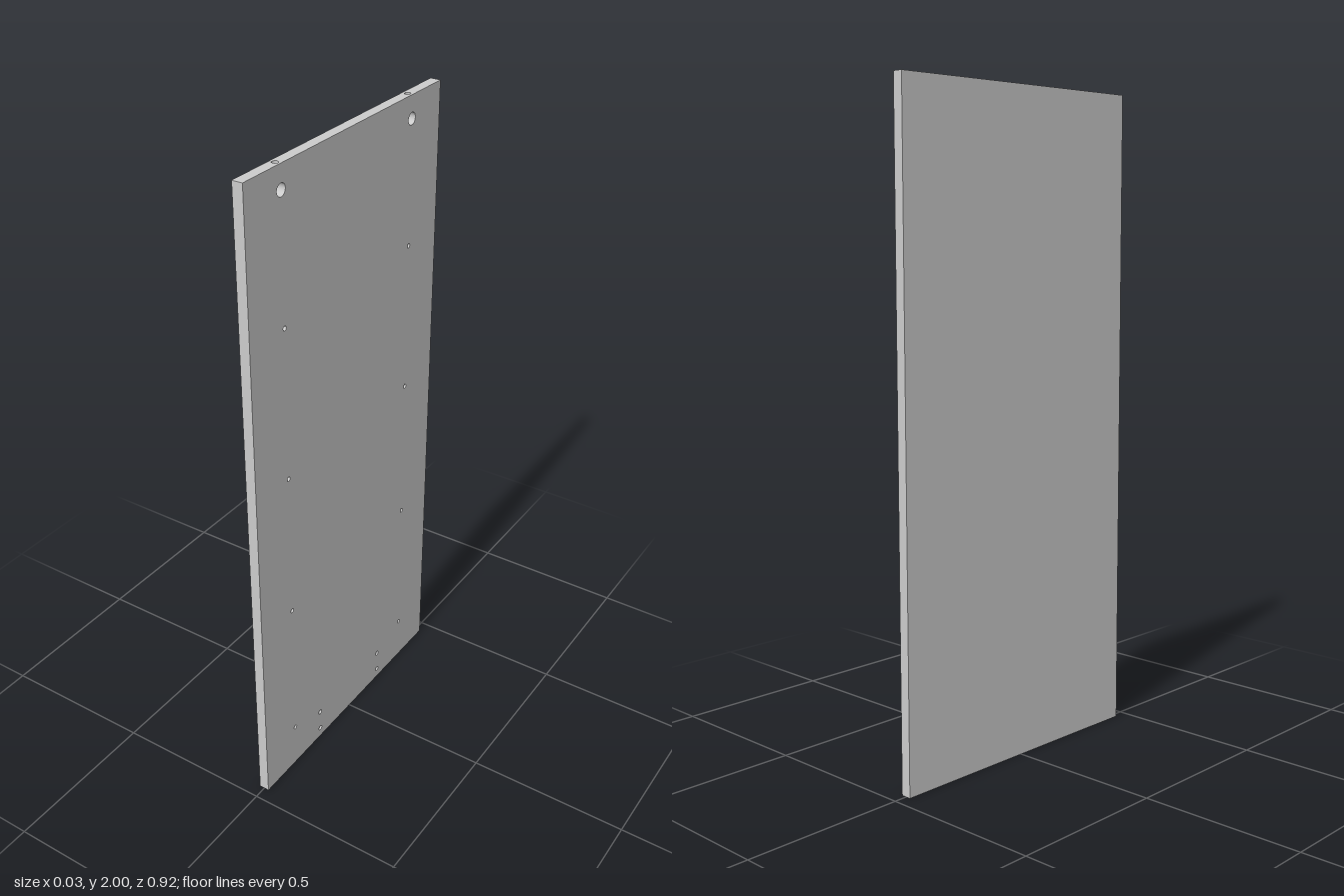
import * as THREE from 'three';

const H = 2, HALF_T = 0.016, HALF_D = 0.459;
const CAM = { y: 1.932, z: 0.308, r: 0.018, floor: -0.0095 };
const BORE_R = 0.009, PIN_DEPTH = 0.02;

const grey = new THREE.MeshStandardMaterial({ color: 0xcccccc });
const inner = new THREE.MeshStandardMaterial({ color: 0xcccccc, side: THREE.BackSide });

// Angles round the cam pocket (0 = up), finer where the top bore breaks in
const camSteps = [];
for (let i = 0; i <= 16; i++) {
  const phi = -Math.PI / 2 + (i * Math.PI) / 16;
  camSteps.push({ a: Math.asin((BORE_R * Math.sin(phi)) / CAM.r), h: BORE_R * Math.cos(phi) });
}
const open = camSteps[16].a;
for (let i = 1; i <= 28; i++) camSteps.push({ a: open + (i / 28) * (2 * Math.PI - 2 * open), h: 0 });

const camOutline = (u, v) => camSteps.slice(0, -1).map(
  ({ a }) => new THREE.Vector2(u + CAM.r * Math.sin(a), v + CAM.r * Math.cos(a)));

// Pocket wall facing its axis, leaving the bore's opening free
function camWall() {
  const pos = [], nor = [];
  const quad = (p, q, p0, q0, p1, q1) => {
    const corner = (s, x) => {
      pos.push(x, CAM.r * Math.cos(s.a), CAM.r * Math.sin(s.a));
      nor.push(0, -Math.cos(s.a), -Math.sin(s.a));
    };
    corner(p, p0); corner(p, p1); corner(q, q1);
    corner(p, p0); corner(q, q1); corner(q, q0);
  };
  for (let i = 0; i < camSteps.length - 1; i++) {
    const p = camSteps[i], q = camSteps[i + 1];
    if (i < 16) {
      quad(p, q, CAM.floor, CAM.floor, -p.h, -q.h);
      quad(p, q, p.h, q.h, HALF_T, HALF_T);
    } else quad(p, q, CAM.floor, CAM.floor, HALF_T, HALF_T);
  }
  const g = new THREE.BufferGeometry();
  g.setAttribute('position', new THREE.Float32BufferAttribute(pos, 3));
  g.setAttribute('normal', new THREE.Float32BufferAttribute(nor, 3));
  return g;
}

function rectangle(x0, y0, x1, y1) {
  return new THREE.Shape([[x0, y0], [x1, y0], [x1, y1], [x0, y1]].map(p => new THREE.Vector2(...p)));
}
const circle = (x, y, r) => new THREE.Path().absarc(x, y, r, 0, Math.PI * 2, true);

export function createModel() {
  const group = new THREE.Group();
  group.name = 'sidePanel';
  const add = (name, geometry, material = grey, x = 0, y = 0, z = 0) => {
    const mesh = new THREE.Mesh(geometry, material);
    mesh.name = name;
    mesh.position.set(x, y, z);
    group.add(mesh);
  };

  // Small blind holes: shelf pins in two columns, fixing holes near the base
  const pins = [];
  for (const s of [-1, 1]) {
    for (const y of [0.147, 0.616, 1.084, 1.553]) pins.push({ y, z: s * 0.308, r: 0.007 });
    for (const y of [0.033, 0.102]) pins.push({ y, z: s * 0.171, r: 0.008 });
  }

  // Drilled face
  const face = rectangle(-HALF_D, 0, HALF_D, H);
  for (const { y, z, r } of pins) face.holes.push(circle(-z, y, r));
  for (const s of [-1, 1]) face.holes.push(new THREE.Path(camOutline(s * CAM.z, CAM.y)));
  add('drilledFace', new THREE.ShapeGeometry(face, 12).rotateY(Math.PI / 2), grey, HALF_T);

  // Top edge with two bores
  const top = rectangle(-HALF_T, -HALF_D, HALF_T, HALF_D);
  for (const s of [-1, 1]) top.holes.push(circle(0, s * CAM.z, BORE_R));
  add('topEdge', new THREE.ShapeGeometry(top, 16).rotateX(-Math.PI / 2), grey, 0, H);

  // Plain faces
  add('plainFace', new THREE.PlaneGeometry(2 * HALF_D, H).rotateY(-Math.PI / 2), grey, -HALF_T, H / 2);
  add('bottomEdge', new THREE.PlaneGeometry(2 * HALF_T, 2 * HALF_D).rotateX(Math.PI / 2));
  add('frontEdge', new THREE.PlaneGeometry(2 * HALF_T, H), grey, 0, H / 2, HALF_D);
  add('backEdge', new THREE.PlaneGeometry(2 * HALF_T, H).rotateY(Math.PI), grey, 0, H / 2, -HALF_D);

  // Pin hole walls and floors
  for (const { y, z, r } of pins) {
    const wall = new THREE.CylinderGeometry(r, r, PIN_DEPTH, 24, 1, true).rotateZ(Math.PI / 2);
    add('pinHoleWall', wall, inner, HALF_T - PIN_DEPTH / 2, y, z);
    add('pinHoleFloor', new THREE.CircleGeometry(r, 24).rotateY(Math.PI / 2), grey, HALF_T - PIN_DEPTH, y, z);
  }

  // Cam pockets, each met by a bore from the top edge
  for (const s of [-1, 1]) {
    const z = s * CAM.z;
    add('camPocketWall', camWall(), grey, 0, CAM.y, z);
    const floor = new THREE.ShapeGeometry(new THREE.Shape(camOutline(0, 0))).rotateY(Math.PI / 2);
    add('camPocketFloor', floor, grey, CAM.floor, CAM.y, z);

    // The bore's lower rim follows the pocket's curve
    const bore = new THREE.CylinderGeometry(BORE_R, BORE_R, 1, 32, 1, true);
    const p = bore.attributes.position;
    for (let i = 0; i < p.count; i++) {
      p.setY(i, p.getY(i) > 0 ? H : CAM.y + Math.sqrt(CAM.r ** 2 - p.getZ(i) ** 2));
    }
    add('topBore', bore, inner, 0, 0, z);
  }
  return group;
}
